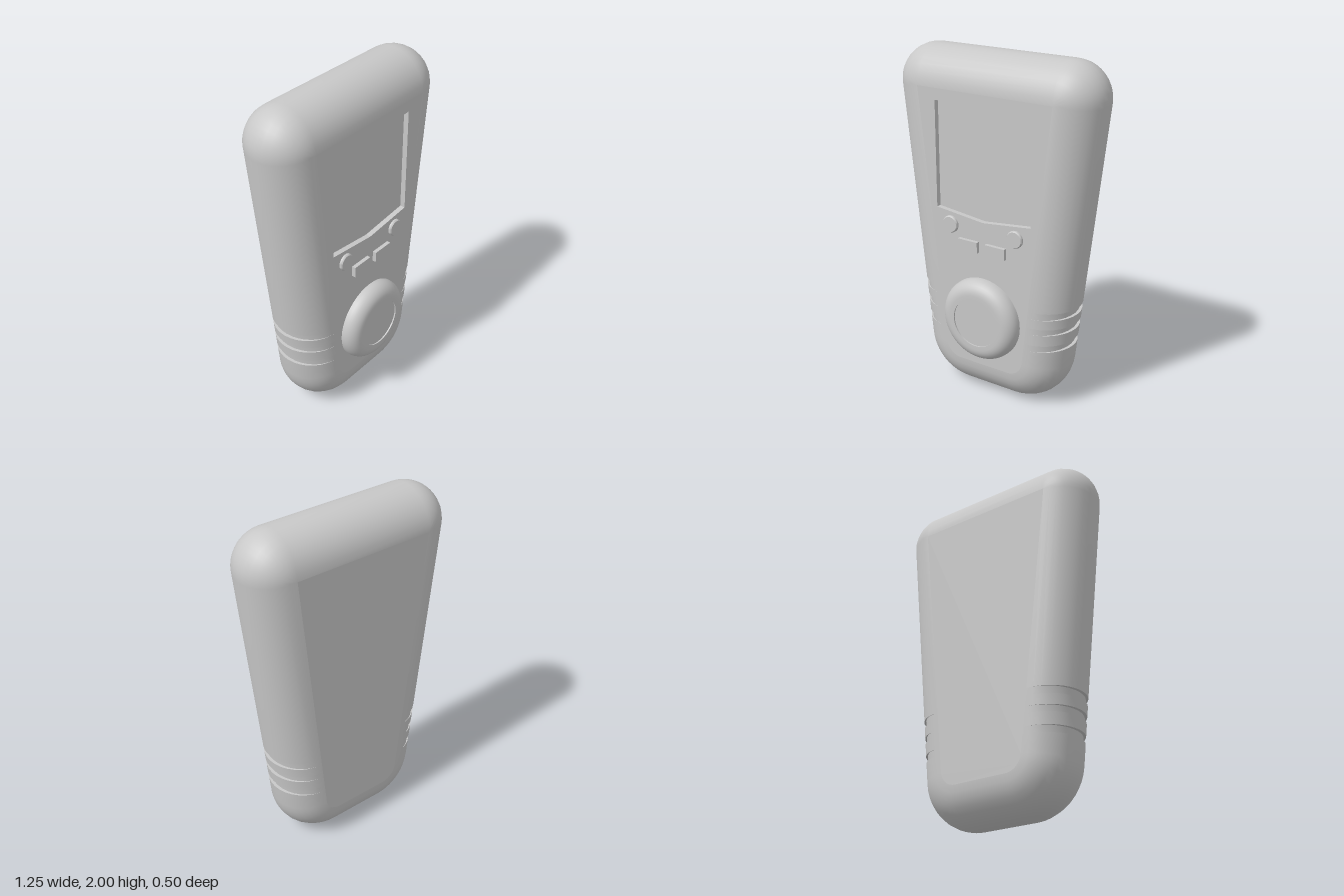
import * as THREE from 'three';
import { toCreasedNormals } from 'three/addons/utils/BufferGeometryUtils.js';

const R = 0.205;            // edge rounding = half the thickness
const ZC = -0.043;          // mid plane of the body
const FACE = ZC + R;        // front face
const TILT = Math.atan(0.109);
const TOP = { x: 0.42, y: 1.795, r: 0 };
const LOW = { x: 0.162, y: 0.3, r: 0.095 };
const GROOVES = [[0.385, 0.425], [0.493, 0.53], [0.588, 0.63]];
const GROOVE_DEPTH = 0.018;

// Outline stations: flat-face point (x, y) and its full offset to the rim (ox, oy)
function arc(c, from, to, n) {
  return Array.from({ length: n + 1 }, (_, i) => {
    const a = from + (to - from) * i / n, cs = Math.cos(a), sn = Math.sin(a);
    return { x: c.x + c.r * cs, y: c.y + c.r * sn, ox: R * cs, oy: R * sn };
  });
}

function mirrored(half) {
  return [...half, ...half.map(p => ({ ...p, x: -p.x, ox: -p.ox })).reverse()];
}

const lowArc = arc(LOW, -Math.PI / 2, -TILT, 10);
const topArc = arc(TOP, -TILT, Math.PI / 2, 10);

// Side stations, cut in horizontally to form the grip grooves
function grooveStations() {
  const start = lowArc[lowArc.length - 1], end = topArc[0];
  const reach = R / Math.cos(TILT);
  const at = (y, cut) => ({
    x: start.x + (end.x - start.x) * (y - start.y) / (end.y - start.y),
    y, ox: reach - cut, oy: 0,
  });
  return GROOVES.flatMap(([a, b]) =>
    [at(a, 0), at(a, GROOVE_DEPTH), at(b, GROOVE_DEPTH), at(b, 0)]);
}

// Rounded rim swept around the outline
function rimGeometry() {
  const loop = mirrored([...lowArc, ...grooveStations(), ...topArc]);
  const N = 16, pos = [], idx = [];
  for (const p of loop) {
    for (let j = 0; j <= N; j++) {
      const t = -Math.PI / 2 + Math.PI * j / N;
      pos.push(p.x + p.ox * Math.cos(t), p.y + p.oy * Math.cos(t), ZC + R * Math.sin(t));
    }
  }
  const row = N + 1;
  for (let i = 0; i < loop.length; i++) {
    const a = i * row, b = ((i + 1) % loop.length) * row;
    for (let j = 0; j < N; j++) {
      idx.push(a + j, b + j, b + j + 1, a + j, b + j + 1, a + j + 1);
    }
  }
  const g = new THREE.BufferGeometry();
  g.setAttribute('position', new THREE.Float32BufferAttribute(pos, 3));
  g.setIndex(idx);
  return toCreasedNormals(g, 0.6);
}

export function createModel() {
  const group = new THREE.Group();
  const grey = new THREE.MeshStandardMaterial({ color: 0xc8c8c8 });
  grey.name = 'grey plastic';

  const add = (name, geometry, x = 0, y = 0, z = 0) => {
    const mesh = new THREE.Mesh(geometry, grey);
    mesh.name = name;
    mesh.position.set(x, y, z);
    group.add(mesh);
    return mesh;
  };

  add('bodyRim', rimGeometry());

  // Flat faces of the body; the front one has the screen opening
  const flat = () => new THREE.Shape(
    mirrored([...lowArc, topArc[0]]).map(p => new THREE.Vector2(p.x, p.y)));
  const screen = [[-0.305, 1.73], [-0.305, 1.122], [0, 1.088], [0.305, 1.122], [0.305, 1.73]]
    .map(([x, y]) => new THREE.Vector2(x, y));
  const recess = 0.03;
  const front = flat();
  front.holes.push(new THREE.Path(screen));
  add('frontFace', new THREE.ExtrudeGeometry(front, { depth: recess, bevelEnabled: false }),
    0, 0, FACE - recess);
  add('screen', new THREE.ShapeGeometry(new THREE.Shape(screen)), 0, 0, FACE - recess);
  // The outline is symmetric in x, so a half turn faces it backwards
  add('backFace', new THREE.ShapeGeometry(flat()), 0, 0, ZC - R).rotation.y = Math.PI;

  // Turned parts point along +z
  const turned = (points, segments) => {
    const g = new THREE.LatheGeometry(points.map(([r, h]) => new THREE.Vector2(r, h)), segments);
    return toCreasedNormals(g.rotateX(Math.PI / 2), 0.6);
  };

  // Round control pad with a rolled edge and a sunken centre
  const edge = Array.from({ length: 9 }, (_, i) => {
    const a = Math.PI / 2 * i / 8;
    return [0.167 + 0.077 * Math.cos(a), 0.011 + 0.075 * Math.sin(a)];
  });
  add('controlPad', turned([[0.244, -0.01], ...edge, [0.143, 0.086], [0.143, 0.078], [0, 0.078]], 40),
    0, 0.512, FACE);

  // Button pairs
  const bar = new THREE.BoxGeometry(0.128, 0.064, 0.034);
  const round = turned([[0.049, -0.01], [0.049, 0.01], [0.044, 0.017], [0, 0.017]], 32);
  for (const [side, s] of [['left', 1], ['right', -1]]) {
    add(side + 'RoundButton', round, s * 0.21, 1.04, FACE);
    add(side + 'BarButton', bar, s * 0.089, 0.94, FACE + 0.005);
  }
  return group;
}
